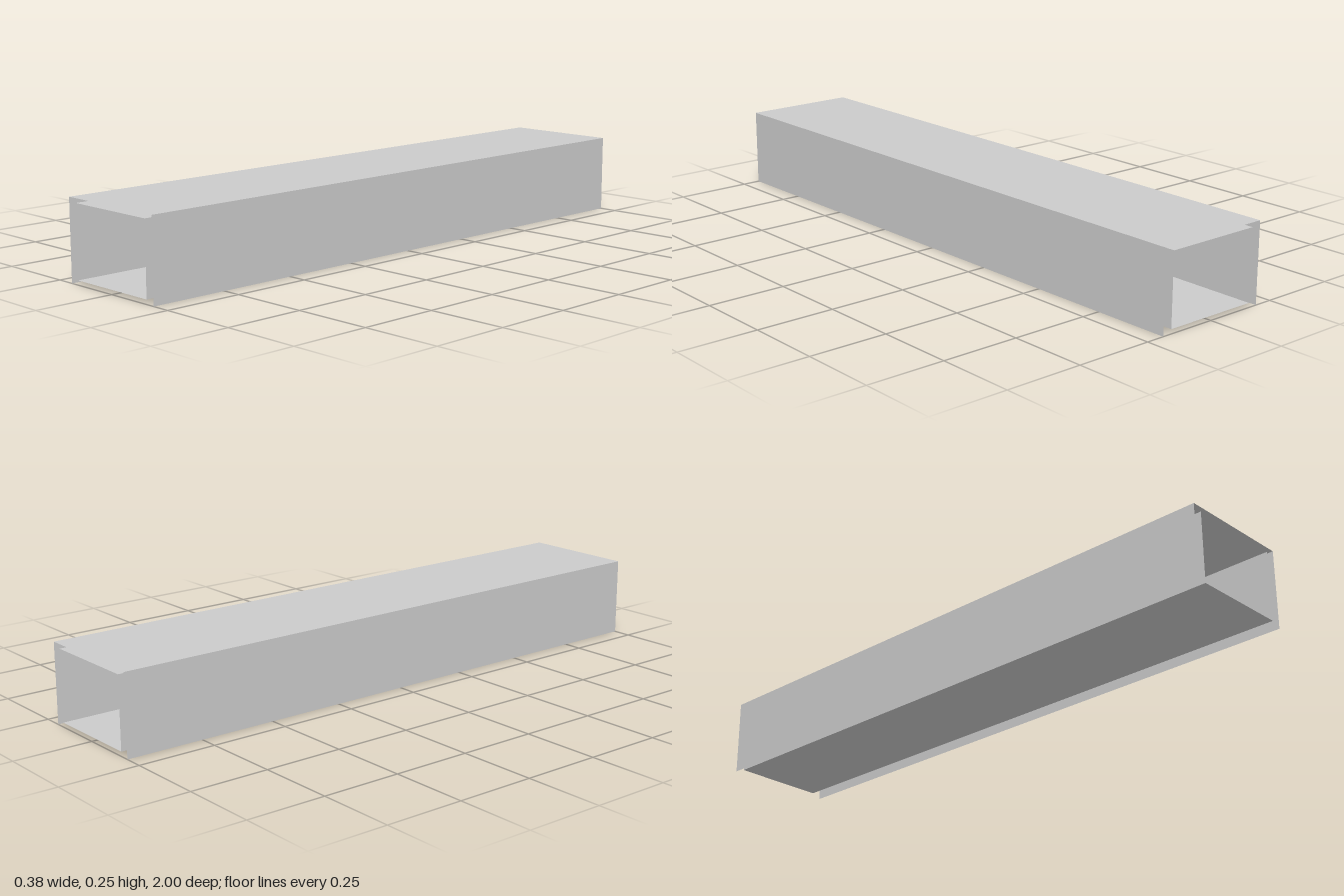
import * as THREE from 'three';

const LENGTH = 2;

export function createModel() {
  const group = new THREE.Group();
  group.name = 'sleevedDuct';
  const material = new THREE.MeshStandardMaterial({ color: 0xcccccc, side: THREE.DoubleSide });

  // Thin flat sheet running the full length, turned about z
  const addPanel = (parent, name, width, x, y, turn) => {
    const geometry = new THREE.PlaneGeometry(width, LENGTH).rotateX(-Math.PI / 2).rotateZ(turn);
    const mesh = new THREE.Mesh(geometry, material);
    mesh.name = name;
    mesh.position.set(x, y, 0);
    parent.add(mesh);
  };

  // Open-ended shell: top, two sides and an optional floor
  const addShell = (name, halfWidth, bottom, top, hasFloor) => {
    const shell = new THREE.Group();
    shell.name = name;
    const middle = (bottom + top) / 2;
    addPanel(shell, name + 'Top', halfWidth * 2, 0, top, 0);
    addPanel(shell, name + 'LeftSide', top - bottom, halfWidth, middle, -Math.PI / 2);
    addPanel(shell, name + 'RightSide', top - bottom, -halfWidth, middle, Math.PI / 2);
    if (hasFloor) addPanel(shell, name + 'Floor', halfWidth * 2, 0, bottom, Math.PI);
    group.add(shell);
  };

  addShell('outerCover', 0.19, 0, 0.253, false);
  addShell('innerDuct', 0.159, 0.014, 0.239, true);
  return group;
}
